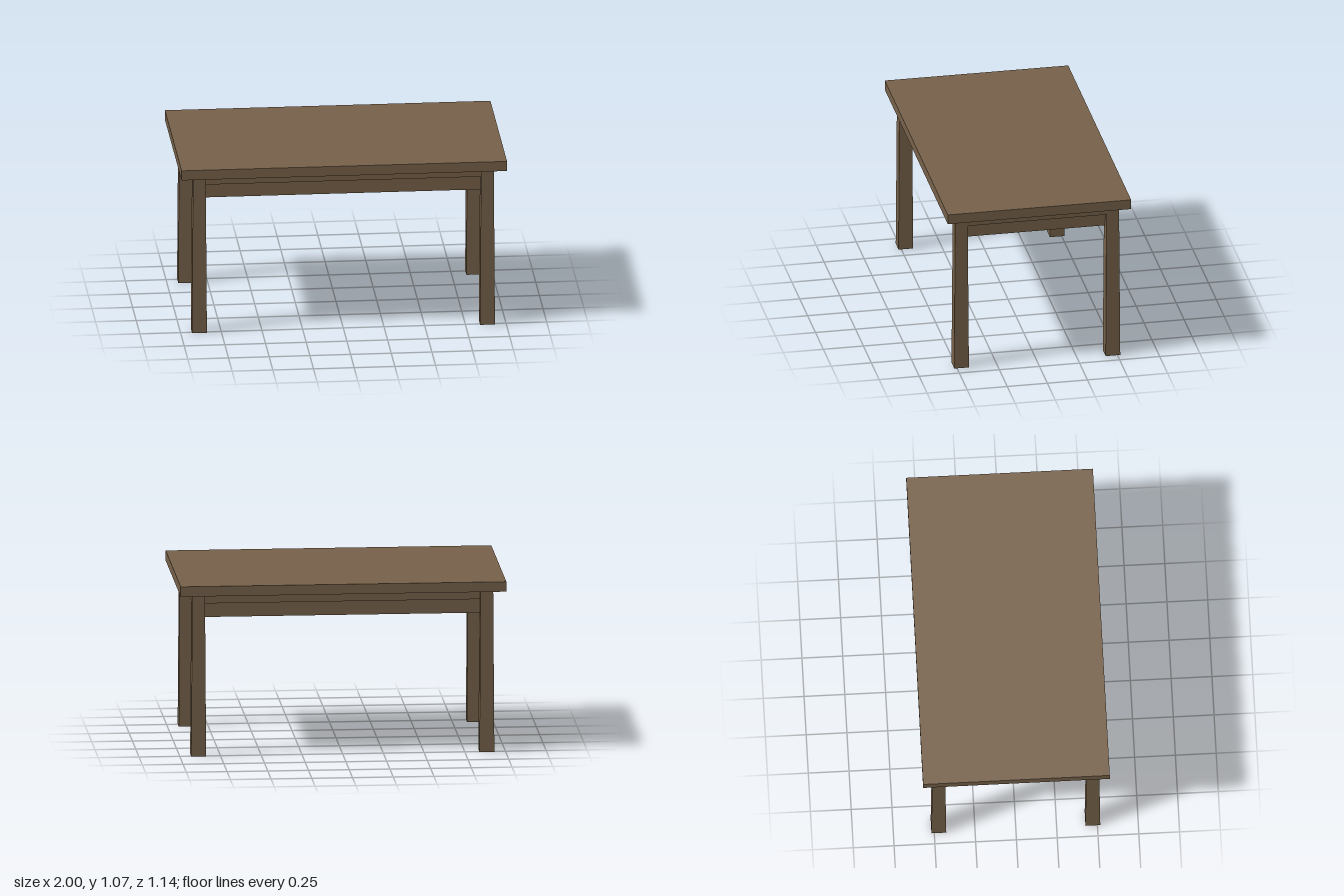
import * as THREE from 'three';

export function createModel() {
  const table = new THREE.Group();
  table.name = 'table';
  const wood = new THREE.MeshStandardMaterial({ color: 0x77624a, flatShading: true, side: THREE.DoubleSide });
  wood.name = 'brown wood';

  const add = (name, geometry, x, y, z) => {
    const mesh = new THREE.Mesh(geometry, wood);
    mesh.name = name;
    mesh.position.set(x, y, z);
    table.add(mesh);
  };
  const box = (name, w, h, d, x, y, z) => add(name, new THREE.BoxGeometry(w, h, d), x, y, z);

  const legX = 0.885, legZ = 0.472, underside = 1.01;

  // Table top: a shallow shell, open below (the fourth box face is left out)
  const top = new THREE.BoxGeometry(2, 0.062, 1.144);
  const corners = Array.from(top.index.array);
  corners.splice(18, 6);
  top.setIndex(corners);
  top.clearGroups();
  add('tableTop', top, 0, underside + 0.031, 0);

  // Square legs, slightly wider at the foot and open at the ends
  const leg = new THREE.CylinderGeometry(0.039 * Math.SQRT2, 0.0455 * Math.SQRT2, underside, 4, 1, true);
  leg.rotateY(Math.PI / 4);
  for (const [xName, sx] of [['left', 1], ['right', -1]])
    for (const [zName, sz] of [['Front', 1], ['Back', -1]])
      add(`${xName}${zName}Leg`, leg, sx * legX, underside / 2, sz * legZ);

  // Rails between the legs, each with an overhanging lip under the top
  const railY = 0.913, railH = 0.102, lipY = 0.98, lipH = 0.06;
  for (const [name, s] of [['front', 1], ['back', -1]]) {
    box(`${name}Lip`, 1.692, lipH, 0.018, 0, lipY, s * 0.482);
    box(`${name}Rail`, 1.692, railH, 0.042, 0, railY, s * 0.453);
  }
  for (const [name, s] of [['left', 1], ['right', -1]]) {
    box(`${name}Lip`, 0.036, lipH, 0.866, s * 0.905, lipY, 0);
    box(`${name}Rail`, 0.042, railH, 0.866, s * 0.866, railY, 0);
  }
  return table;
}
